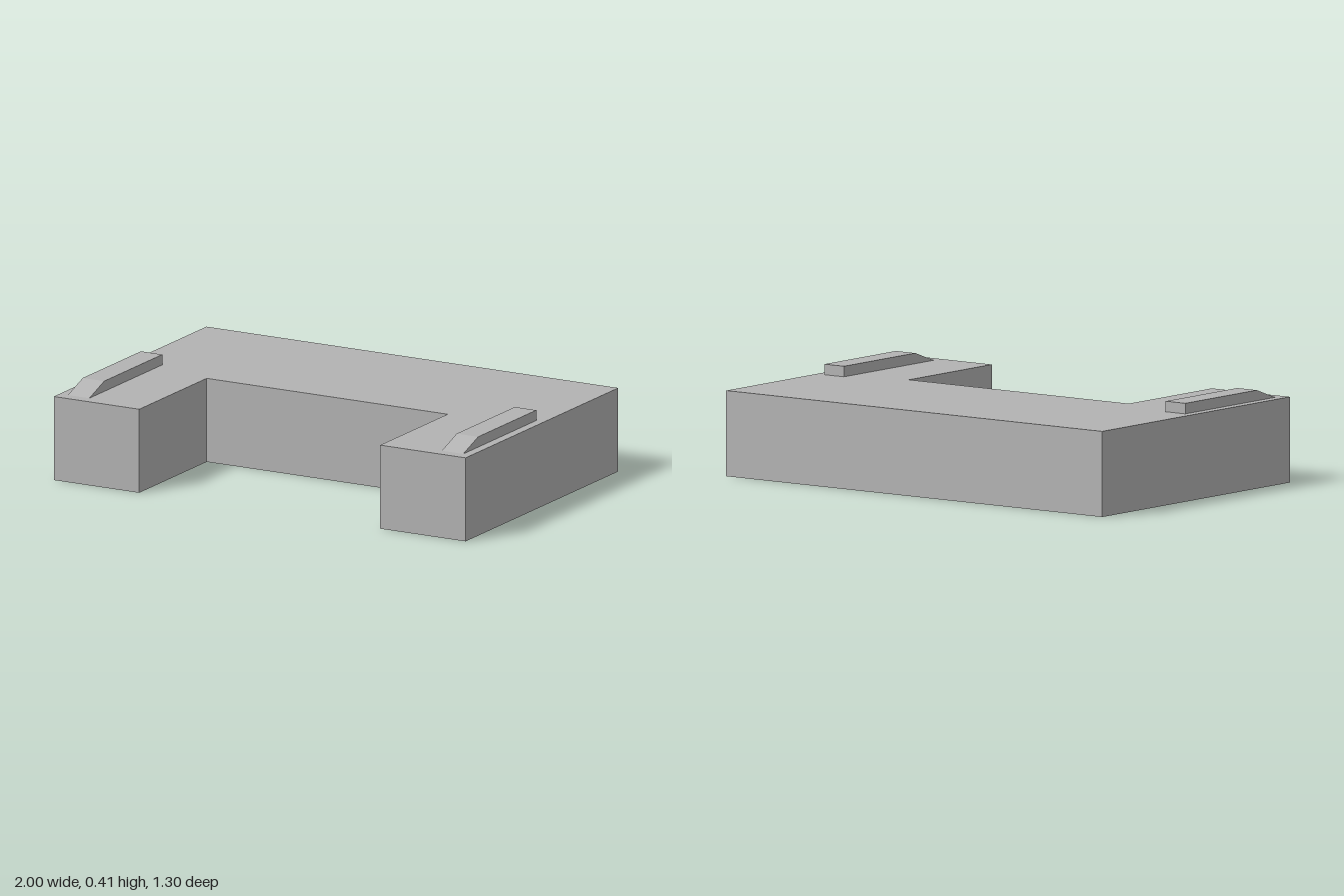
import * as THREE from 'three';

const BODY_HEIGHT = 0.365;
const RAIL_TOP = 0.41;
const RAIL_WIDTH = 0.104;

function polygon(points) {
  return new THREE.Shape(points.map(([x, y]) => new THREE.Vector2(x, y)));
}

export function createModel() {
  const group = new THREE.Group();
  const grey = new THREE.MeshStandardMaterial({ color: 0xb2b2b2 });
  grey.name = 'grey';

  // U-shaped slab, open towards the front; plan points are [x, -z]
  const plan = polygon([
    [-1, -0.65], [-0.585, -0.65], [-0.585, -0.075], [0.585, -0.075],
    [0.585, -0.65], [1, -0.65], [1, 0.65], [-1, 0.65],
  ]);
  const bodyGeometry = new THREE.ExtrudeGeometry(plan, { depth: BODY_HEIGHT, bevelEnabled: false });
  bodyGeometry.rotateX(-Math.PI / 2);
  const body = new THREE.Mesh(bodyGeometry, grey);
  body.name = 'body';
  group.add(body);

  // Rail with a front ramp; profile points are [z, y], sunk slightly into the slab
  const profile = polygon([
    [-0.022, BODY_HEIGHT - 0.01], [0.6, BODY_HEIGHT - 0.01], [0.6, BODY_HEIGHT],
    [0.473, RAIL_TOP], [-0.022, RAIL_TOP],
  ]);
  const railGeometry = new THREE.ExtrudeGeometry(profile, { depth: RAIL_WIDTH, bevelEnabled: false });
  railGeometry.translate(0, 0, -RAIL_WIDTH / 2);
  railGeometry.rotateY(-Math.PI / 2);

  // One rail on each arm
  for (const [name, side] of [['leftRail', 1], ['rightRail', -1]]) {
    const rail = new THREE.Mesh(railGeometry, grey);
    rail.name = name;
    rail.position.x = side * 0.908;
    group.add(rail);
  }

  return group;
}
